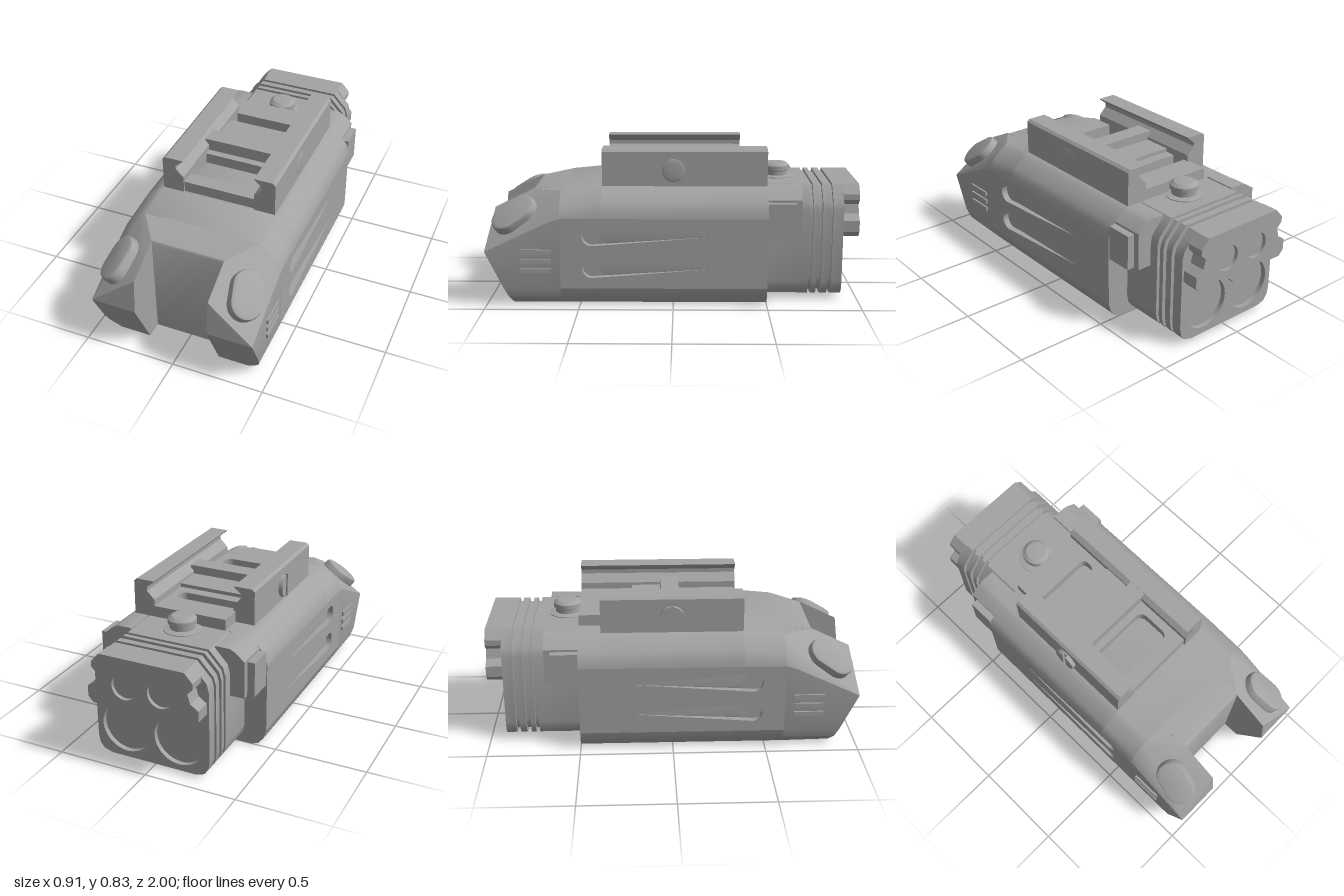
import * as THREE from 'three';
import { toCreasedNormals } from 'three/addons/utils/BufferGeometryUtils.js';
import { ConvexGeometry } from 'three/addons/geometries/ConvexGeometry.js';

const V = (x, y, z) => new THREE.Vector3(x, y, z);
const poly = (pts) => new THREE.Shape(pts.map((p) => new THREE.Vector2(p[0], p[1])));
// closed outline symmetric about x = 0, from points listed bottom to top on the +x side
const symmetric = (half) => poly([...half, ...half.map(([x, y]) => [-x, y]).reverse()]);
const circle = (x, y, r) => new THREE.Path().absarc(x, y, r, 0, Math.PI * 2, true);

function extrude(shape, from, to, extra = {}) {
  const g = new THREE.ExtrudeGeometry(shape, { depth: to - from, bevelEnabled: false, curveSegments: 16, ...extra });
  return g.translate(0, 0, from);
}
// shapes drawn as (-z, y), extruded along x
const sideways = (shape, x0, x1) => extrude(shape, x0, x1).rotateY(Math.PI / 2);
// shapes drawn as (x, -z), extruded along y
const upward = (shape, y0, y1) => extrude(shape, y0, y1).rotateX(-Math.PI / 2);
const box = (x0, x1, y0, y1, z0, z1) =>
  new THREE.BoxGeometry(x1 - x0, y1 - y0, z1 - z0).translate((x0 + x1) / 2, (y0 + y1) / 2, (z0 + z1) / 2);

// reflect in x and turn the triangles back outward
function mirrored(geo) {
  const g = geo.index ? geo.toNonIndexed() : geo.clone();
  const p = g.attributes.position;
  const a = new THREE.Vector3(), b = new THREE.Vector3();
  for (let i = 0; i < p.count; i += 3) {
    a.fromBufferAttribute(p, i + 1);
    b.fromBufferAttribute(p, i + 2);
    p.setXYZ(i + 1, b.x, b.y, b.z);
    p.setXYZ(i + 2, a.x, a.y, a.z);
  }
  return g.scale(-1, 1, 1);
}

// teardrop outline: round at the front, pointed at the back
function teardrop(y) {
  const pts = [];
  for (let i = 0; i <= 12; i++) {
    const a = Math.PI / 2 + (Math.PI * i) / 12;
    pts.push([-0.43 + 0.052 * Math.cos(a), y + 0.052 * Math.sin(a)]);
  }
  pts.push([0.22, y]);
  return pts;
}

export function createModel() {
  const model = new THREE.Group();
  const grey = new THREE.MeshStandardMaterial({ color: 0xa3a3a3 });
  grey.name = 'grey';
  const add = (name, geo, crease = 0.5) => {
    const mesh = new THREE.Mesh(toCreasedNormals(geo, crease), grey);
    mesh.name = name;
    model.add(mesh);
  };
  const addPair = (name, geo, crease) => {
    add(name + 'Left', geo, crease);
    add(name + 'Right', mirrored(geo), crease);
  };

  // main housing, its flat sides left open for the fluted plates
  const lower = [[0.36, 0], [0.4, 0.012], [0.43, 0.05], [0.445, 0.1]];
  const upper = [[0.445, 0.48], [0.436, 0.525], [0.415, 0.56], [0.35, 0.615], [0.32, 0.63]];
  const housing = symmetric([...lower, [0.41, 0.1], [0.41, 0.48], ...upper]);
  const slope = (geo) => {
    const p = geo.attributes.position;
    for (let i = 0; i < p.count; i++) {
      if (p.getY(i) > 0.49) p.setY(i, p.getY(i) - 0.1 * Math.max(0, p.getZ(i) - 0.38));
    }
    return geo;
  };
  add('housing', extrude(housing, -0.5, 0.38));
  add('housingFront', slope(extrude(housing, 0.38, 0.6)));
  add('frontWall', sideways(poly([[-0.77, 0], [-0.59, 0], [-0.59, 0.609], [-0.745, 0.594], [-0.763, 0.588], [-0.77, 0.575]]), -0.21, 0.21));

  // side plates with two tapering flutes
  const plate = poly([[-0.6, 0.1], [0.5, 0.1], [0.5, 0.48], [-0.6, 0.48]]);
  for (const y of [0.385, 0.21]) {
    plate.holes.push(new THREE.Path(teardrop(y).map((p) => new THREE.Vector2(...p))));
    const floor = teardrop(y).map(([u, v]) => V(0.405, v, -u));
    addPair('fluteFloor', new ConvexGeometry([...floor, V(0.4449, y, -0.22)]));
  }
  addPair('sidePlate', sideways(plate, 0.41, 0.445));

  // front prongs with a slanted corner
  const back = [...lower, ...upper].map(([x, y]) => V(x, y > 0.49 ? y - 0.022 : y, 0.6));
  addPair('prong', new ConvexGeometry([
    ...back, V(0.2, 0, 0.6), V(0.2, 0.608, 0.6),
    V(0.2, 0.59, 0.77), V(0.3, 0.593, 0.66), V(0.445, 0.46, 0.66),
    V(0.2, 0.49, 0.975), V(0.445, 0.3, 1), V(0.2, 0.3, 1),
    V(0.2, 0, 0.86), V(0.37, 0, 0.86), V(0.43, 0.05, 0.88), V(0.445, 0.1, 0.903),
  ]), 0.35);

  // oval pads on the slanted corners
  const pad = new THREE.Shape();
  pad.absarc(0.045, 0, 0.07, -Math.PI / 2, Math.PI / 2, false);
  pad.absarc(-0.045, 0, 0.07, Math.PI / 2, Math.PI * 1.5, false);
  const padGeo = extrude(pad, -0.05, 0.02, {
    bevelEnabled: true, bevelSize: 0.015, bevelThickness: 0.018, bevelSegments: 2, curveSegments: 8,
  });
  const n = V(0.56, 0.75, 0.35).normalize();
  const d = V(0.25, -0.45, 0.85);
  d.addScaledVector(n, -d.dot(n)).normalize();
  padGeo.applyMatrix4(new THREE.Matrix4().makeBasis(d, n.clone().cross(d), n).setPosition(0.345, 0.475, 0.845));
  addPair('cornerPad', padGeo);

  // grip ribs
  for (const y of [0.2, 0.25, 0.3]) addPair('gripRib', box(0.43, 0.455, y - 0.012, y + 0.013, 0.65, 0.81));

  // rail clamp jaws
  const jaw = poly([[0.2, 0.62], [0.318, 0.62], [0.318, 0.815], [0.303, 0.828], [0.2, 0.828], [0.205, 0.82],
    [0.243, 0.79], [0.243, 0.768], [0.2, 0.725]]);
  add('fixedJaw', extrude(jaw, -0.5, 0.38));
  add('movingJaw', mirrored(extrude(jaw, -0.38, 0.38)));

  // rail deck with a slot and a pocket
  const deck = poly([[-0.21, -0.37], [0.21, -0.37], [0.21, 0.5], [-0.21, 0.5]]);
  const opening = (z0, z1, r) => {
    const s = new THREE.Path();
    s.moveTo(-0.2, -z1);
    s.lineTo(-0.2, -z0);
    s.lineTo(0.155 - r, -z0);
    s.quadraticCurveTo(0.155, -z0, 0.155, -z0 - r);
    s.lineTo(0.155, -z1 + r);
    s.quadraticCurveTo(0.155, -z1, 0.155 - r, -z1);
    return s;
  };
  deck.holes.push(opening(-0.35, -0.27, 0.035), opening(0.09, 0.29, 0.05));
  add('railDeck', upward(deck, 0.62, 0.69));
  add('crossLug', box(-0.22, 0.22, 0.68, 0.758, -0.05, 0.05));
  add('crossStep', box(-0.2, 0.2, 0.68, 0.71, -0.21, -0.05));

  // clamp screw with a slotted head, and its rounded end on the other side
  add('screwCore', new THREE.CylinderGeometry(0.065, 0.065, 0.03, 24).rotateZ(Math.PI / 2).translate(-0.31, 0.715, 0));
  for (const start of [0, Math.PI]) {
    const half = new THREE.Shape().absarc(0, 0, 0.064, start + 0.15, start + Math.PI - 0.15, false);
    add('screwHead', extrude(half, -0.02, 0).rotateZ(Math.PI / 2).rotateY(Math.PI / 2).translate(-0.32, 0.715, 0));
  }
  add('screwEnd', new THREE.SphereGeometry(0.063, 24, 12).scale(0.1, 1, 1).translate(0.317, 0.715, 0), 1);

  // ears behind the housing, with a round dimple on the left one
  const ear = poly([[0.24, 0.37], [0.4, 0.37], [0.4, 0.572], [0.35, 0.615], [0.32, 0.63], [0.24, 0.63]]);
  addPair('ear', extrude(ear, -0.68, -0.5));
  const earPlate = () => poly([[0.5, 0.37], [0.645, 0.37], [0.645, 0.56], [0.5, 0.56]]);
  const dimpled = earPlate();
  dimpled.holes.push(circle(0.56, 0.48, 0.072));
  add('earPlateLeft', sideways(dimpled, 0.4, 0.44));
  add('earPlateRight', mirrored(sideways(earPlate(), 0.4, 0.44)));

  // rear cap: a core with raised bands
  const cap = (w, y0, y1) => symmetric([[w - 0.08, y0], [w - 0.03, y0 + 0.015], [w - 0.008, y0 + 0.045],
    [w, y0 + 0.09], [w, y1 - 0.13], [w - 0.012, y1 - 0.085], [w - 0.09, y1]]);
  add('capCore', extrude(cap(0.3, 0.035, 0.615), -0.885, -0.45));
  for (const [a, b] of [[-0.73, -0.5], [-0.775, -0.75], [-0.835, -0.8]]) {
    add('capBand', extrude(cap(0.32, 0.018, 0.63), a, b));
  }
  const face = cap(0.32, 0.018, 0.63);
  for (const s of [-1, 1]) face.holes.push(circle(0.15 * s, 0.19, 0.138));
  add('capFace', extrude(face, -0.912, -0.855));

  // upper lens block with notched sides and a scalloped lower edge
  const block = symmetric([[0.04, 0.31], [0.075, 0.345], [0.15, 0.37], [0.22, 0.35], [0.28, 0.35], [0.308, 0.38],
    [0.308, 0.44], [0.265, 0.47], [0.25, 0.52], [0.28, 0.55], [0.28, 0.58], [0.235, 0.63]]);
  for (const s of [-1, 1]) block.holes.push(circle(0.1 * s, 0.475, 0.07));
  add('lensBlock', extrude(block, -1, -0.905));
  for (const s of [-1, 1]) {
    add('lens', new THREE.CylinderGeometry(0.071, 0.071, 0.07, 24).rotateX(Math.PI / 2).translate(0.1 * s, 0.475, -0.945));
  }

  // push button on top of the cap
  const button = [[0.1, 0], [0.1, 0.012], [0.066, 0.018], [0.066, 0.04], [0.075, 0.045], [0.075, 0.07], [0.055, 0.085], [0, 0.09]]
    .map((p) => new THREE.Vector2(...p));
  add('pushButton', new THREE.LatheGeometry(button, 24).translate(0, 0.622, -0.57));

  return model;
}
